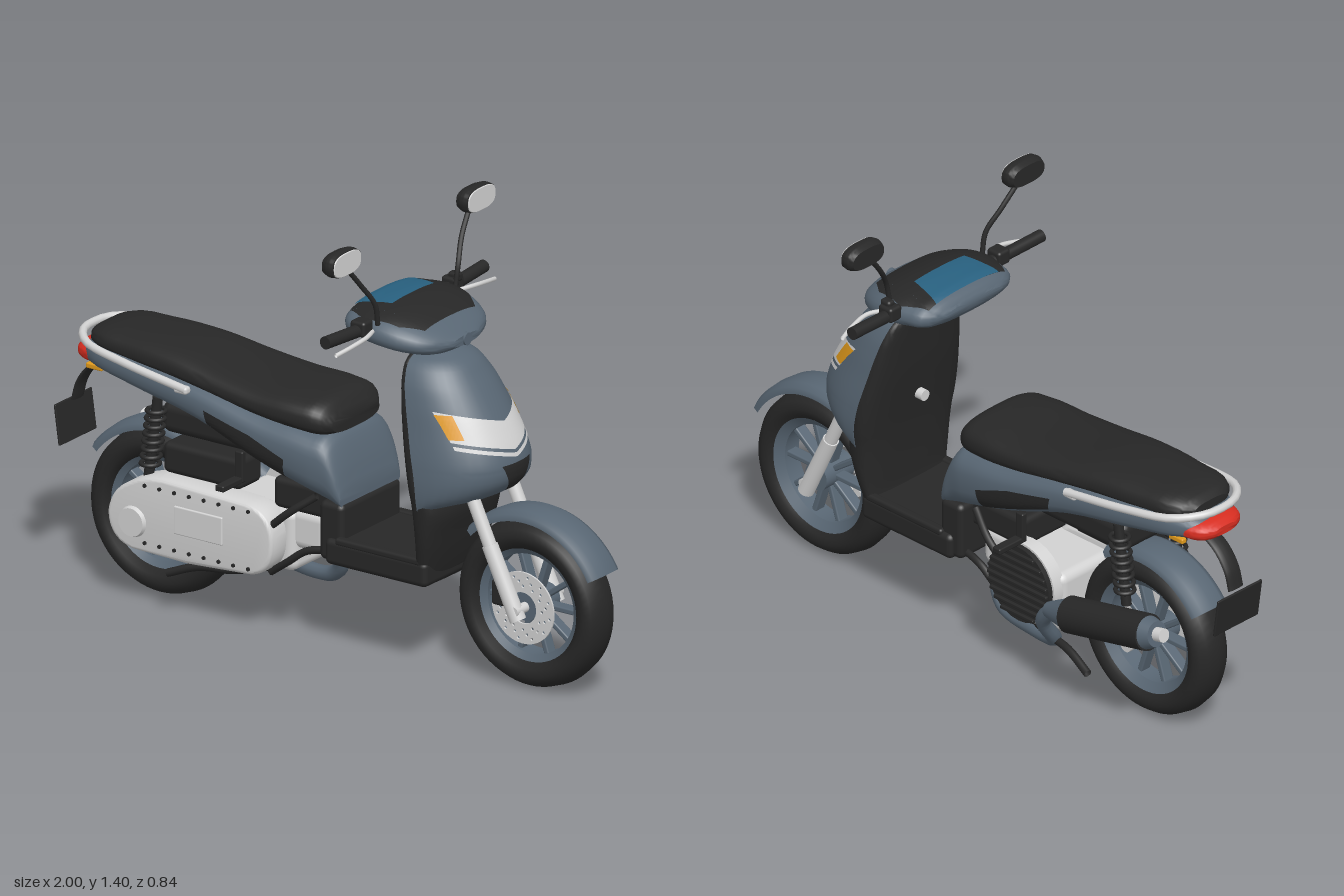
import * as THREE from 'three';
import { toCreasedNormals } from 'three/addons/utils/BufferGeometryUtils.js';
import { RoundedBoxGeometry } from 'three/addons/geometries/RoundedBoxGeometry.js';

const V = (x, y, z) => new THREE.Vector3(x, y, z);
const paint = (name, color) => new THREE.MeshStandardMaterial({ name, color, side: THREE.DoubleSide });
const SIDES = [1, -1];

// Triangulated grid from point rows
function grid(rows) {
  const n = rows[0].length, index = [];
  for (let i = 0; i < rows.length - 1; i++) for (let j = 0; j < n - 1; j++) {
    const a = i * n + j, b = a + n;
    index.push(a, b, a + 1, a + 1, b, b + 1);
  }
  const g = new THREE.BufferGeometry().setFromPoints(rows.flat());
  g.setIndex(index);
  return toCreasedNormals(g, 0.7);
}

// Superellipse hull along x or y; each row is [station, low, middle, high, half width]
function hull(rows, axis = 'x', p = 3, segments = 40) {
  const spline = new THREE.CubicInterpolant(rows.map(r => r[0]), rows.flatMap(r => r.slice(1)), 4, new Float32Array(4));
  const at = s => [...spline.evaluate(s)];
  const put = (s, u, z) => axis === 'x' ? V(s, u, z) : V(u, s, z);
  const pow = v => Math.sign(v) * Math.abs(v) ** (2 / p);
  const arc = t => Math.max(0, 1 - Math.abs(t) ** p) ** (1 / p);
  const ring = (s, k = 1) => {
    const [lo, mid, hi, w] = at(s);
    return Array.from({ length: segments + 1 }, (_, i) => {
      const a = i / segments * Math.PI * 2, c = pow(Math.cos(a)), d = pow(Math.sin(a));
      return put(s, mid + k * d * (d > 0 ? hi - mid : mid - lo), k * w * c);
    });
  };
  const stations = rows.slice(1).flatMap((r, i) => [0, 0.25, 0.5, 0.75].map(t => rows[i][0] + t * (r[0] - rows[i][0])));
  const end = rows[rows.length - 1][0];
  const rings = [ring(rows[0][0], 0), ...stations.map(s => ring(s)), ring(end), ring(end, 0)];
  return {
    geometry: grid(rings),
    // points just outside the hull, found from its high face or its flank
    top: off => (s, z) => { const [, mid, hi, w] = at(s); return put(s, mid + (hi - mid) * arc(z / w) + off, z); },
    flank: (off, sign) => (s, u) => {
      const [lo, mid, hi, w] = at(s);
      return put(s, u, sign * (w * arc((u - mid) / (u > mid ? hi - mid : mid - lo)) + off));
    },
  };
}

// Four-cornered plate laid on a surface
function patch(surface, [a, b, c, d], n = 14) {
  const mix = (p, q, t) => [p[0] + (q[0] - p[0]) * t, p[1] + (q[1] - p[1]) * t];
  return grid(Array.from({ length: n + 1 }, (_, i) => Array.from({ length: n + 1 }, (_, j) =>
    surface(...mix(mix(a, b, i / n), mix(d, c, i / n), j / n)))));
}

export function createModel() {
  const model = new THREE.Group();
  model.name = 'scooter';
  const blue = paint('blue grey paint', 0x586673), black = paint('black plastic', 0x272727);
  const silver = paint('silver metal', 0xd2d2d2), red = paint('red lens', 0xd62d20);
  const orange = paint('orange lens', 0xe09a1c), glass = paint('blue display', 0x28607f);

  const add = (name, geometry, material, parent = model) => {
    const m = new THREE.Mesh(geometry, material);
    m.name = name;
    parent.add(m);
    return m;
  };
  const box = (name, mat, x, y, z, w, h, d, r = 0.01, parent = model) => {
    const m = add(name, new RoundedBoxGeometry(w, h, d, 3, r), mat, parent);
    m.position.set(x, y, z);
    return m;
  };
  const tube = (name, mat, r, pts, parent = model) =>
    add(name, new THREE.TubeGeometry(new THREE.CatmullRomCurve3(pts.map(p => V(...p))), 32, r, 10), mat, parent);
  const rod = (name, mat, a, b, ra, rb = ra, parent = model) => {
    const p = V(...a), q = V(...b), dir = q.clone().sub(p);
    const m = add(name, new THREE.CylinderGeometry(rb, ra, dir.length(), 28), mat, parent);
    m.position.copy(p).add(q).multiplyScalar(0.5);
    m.quaternion.setFromUnitVectors(V(0, 1, 0), dir.normalize());
    return m;
  };
  const lathe = (profile, start = 0, sweep = Math.PI * 2) =>
    new THREE.LatheGeometry(profile.map(p => new THREE.Vector2(...p)), 64, start + Math.PI / 2, sweep).rotateX(Math.PI / 2);

  // Wheels
  const tyre = [[0.18, -0.045], [0.2, -0.062], [0.222, -0.067], [0.244, -0.059], [0.259, -0.038], [0.266, 0],
    [0.259, 0.038], [0.244, 0.059], [0.222, 0.067], [0.2, 0.062], [0.18, 0.045], [0.18, -0.045]];
  const rim = [[0.16, -0.03], [0.188, -0.052], [0.19, 0.052], [0.16, 0.03], [0.16, -0.03]];
  for (const [name, x] of [['frontWheel', 0.732], ['rearWheel', -0.64]]) {
    const wheel = new THREE.Group();
    wheel.name = name;
    wheel.position.set(x, 0.266, 0);
    model.add(wheel);
    add('tyre', lathe(tyre), black, wheel);
    add('rim', toCreasedNormals(lathe(rim), 0.5), blue, wheel);
    rod('hub', blue, [0, 0, -0.06], [0, 0, 0.06], 0.045, 0.045, wheel);
    for (let i = 0; i < 10; i++) {
      const a = i / 10 * Math.PI * 2;
      box('spoke', blue, 0.1 * Math.cos(a), 0.1 * Math.sin(a), 0, 0.14, 0.018, 0.04, 0.005, wheel).rotation.z = a;
    }
  }
  // Drilled brake disc and caliper
  const disc = new THREE.Shape().absarc(0, 0, 0.115, 0, Math.PI * 2);
  const hole = (x, y, r) => disc.holes.push(new THREE.Path().absarc(x, y, r, 0, Math.PI * 2, true));
  hole(0, 0, 0.05);
  for (let i = 0; i < 36; i++) {
    const a = i / 36 * Math.PI * 2, r = [0.07, 0.085, 0.1][i % 3];
    hole(r * Math.cos(a), r * Math.sin(a), 0.005);
  }
  add('brakeDisc', new THREE.ExtrudeGeometry(disc, { depth: 0.006, bevelEnabled: false, curveSegments: 20 }), silver).position.set(0.732, 0.266, 0.066);
  box('brakeCaliper', black, 0.65, 0.3, 0.075, 0.05, 0.08, 0.03);
  rod('frontAxle', silver, [0.732, 0.266, -0.12], [0.732, 0.266, 0.12], 0.016);

  // Mudguards
  const guard = [[0.272, -0.068], [0.292, -0.066], [0.303, -0.045], [0.307, 0], [0.303, 0.045], [0.292, 0.066], [0.272, 0.068]];
  add('frontMudguard', lathe(guard, 0.5, 1.88), blue).position.set(0.732, 0.266, 0);
  add('rearMudguard', lathe(guard, 1.0, 1.5), blue).position.set(-0.64, 0.258, 0);

  // Fork
  for (const s of SIDES) {
    rod('forkLower', silver, [0.735, 0.235, s * 0.1], [0.63, 0.455, s * 0.1], 0.026, 0.025);
    rod('forkUpper', silver, [0.63, 0.455, s * 0.1], [0.563, 0.6, s * 0.1], 0.021);
  }

  // Front apron and leg shield
  const apron = hull([[0.55, 0.43, 0.43, 0.48, 0.2], [0.585, 0.43, 0.43, 0.59, 0.207], [0.63, 0.428, 0.428, 0.648, 0.21],
    [0.68, 0.42, 0.42, 0.664, 0.208], [0.72, 0.41, 0.41, 0.657, 0.204], [0.8, 0.39, 0.39, 0.62, 0.19], [0.88, 0.37, 0.37, 0.572, 0.175],
    [0.95, 0.352, 0.352, 0.52, 0.152], [0.995, 0.342, 0.342, 0.475, 0.115], [1.015, 0.34, 0.34, 0.43, 0.07]], 'y', 2.2);
  add('frontApron', apron.geometry, blue);
  add('legShield', hull([[0.29, 0.36, 0.4, 0.43, 0.15], [0.35, 0.385, 0.41, 0.45, 0.165], [0.45, 0.385, 0.43, 0.475, 0.187],
    [0.56, 0.376, 0.435, 0.49, 0.201], [0.61, 0.37, 0.429, 0.45, 0.208], [0.7, 0.355, 0.415, 0.42, 0.206], [0.8, 0.338, 0.39, 0.395, 0.19],
    [0.88, 0.328, 0.37, 0.375, 0.175], [0.95, 0.32, 0.352, 0.355, 0.152], [0.995, 0.316, 0.342, 0.345, 0.115],
    [1.015, 0.318, 0.34, 0.342, 0.07]], 'y', 3).geometry, black);
  for (const s of SIDES) {
    const lens = (y0, y1, y2, y3) => [[y0, 0], [y1, s * 0.166], [y2, s * 0.166], [y3, 0]];
    add('headlight', patch(apron.top(0.004), lens(0.74, 0.782, 0.868, 0.822)), silver);
    add('headlightTrim', patch(apron.top(0.004), lens(0.718, 0.76, 0.772, 0.73)), silver);
    add('frontIndicator', patch(apron.top(0.008), [[0.79, s * 0.143], [0.79, s * 0.168], [0.86, s * 0.168], [0.86, s * 0.143]]), orange);
  }
  add('apronVent', patch(apron.top(0.004), [[0.61, -0.025], [0.61, 0.025], [0.703, 0.07], [0.703, -0.07]]), black);
  rod('bagHook', silver, [0.33, 0.69, 0], [0.38, 0.69, 0], 0.018);

  // Floorboard
  box('floorboard', black, 0.25, 0.332, 0, 0.38, 0.085, 0.34, 0.02);
  box('floorStep', black, 0.075, 0.39, 0, 0.09, 0.19, 0.31, 0.02);
  for (const s of SIDES) box('floorEdge', black, 0.26, 0.37, s * 0.155, 0.32, 0.025, 0.03);

  // Handlebar cowl
  rod('steeringNeck', blue, [0.37, 0.96, 0], [0.33, 1.06, 0], 0.03);
  const cowl = hull([[0.125, 1.085, 1.1, 1.115, 0.12], [0.145, 1.06, 1.095, 1.138, 0.175], [0.21, 1.038, 1.09, 1.154, 0.21],
    [0.3, 1.025, 1.083, 1.153, 0.22], [0.38, 1.02, 1.07, 1.128, 0.198], [0.44, 1.023, 1.06, 1.095, 0.145], [0.472, 1.04, 1.055, 1.07, 0.07]], 'x', 2.4);
  add('handlebarCowl', cowl.geometry, blue);
  add('cowlTop', patch(cowl.top(0.004), [[0.155, -0.165], [0.155, 0.165], [0.41, 0.13], [0.41, -0.13]], 20), black);
  for (const s of SIDES) add('cowlTopSide', patch(cowl.top(0.004), [[0.155, s * 0.165], [0.24, s * 0.202], [0.35, s * 0.18], [0.41, s * 0.13]]), black);
  add('instrumentDisplay', patch(cowl.top(0.008), [[0.152, -0.135], [0.152, 0.135], [0.272, 0.108], [0.272, -0.108]]), glass);
  rod('cowlBadge', blue, [0.44, 1.056, 0], [0.478, 1.056, 0], 0.02);

  // Grips, levers and mirrors
  const mirror = (x0, x1, k) => hull([[x0, 1.36 - 0.032 * k, 1.36, 1.36 + 0.032 * k, 0.066 * k],
    [(x0 + x1) / 2, 1.36 - 0.04 * k, 1.36, 1.36 + 0.04 * k, 0.075 * k], [x1, 1.36 - 0.038 * k, 1.36, 1.36 + 0.038 * k, 0.073 * k]], 'x', 2.8).geometry;
  for (const s of SIDES) {
    rod('grip', black, [0.25, 1.105, s * 0.19], [0.24, 1.115, s * 0.41], 0.02);
    box('switchBox', black, 0.25, 1.115, s * 0.235, 0.055, 0.05, 0.05);
    tube('lever', silver, 0.007, [[0.27, 1.1, s * 0.2], [0.3, 1.105, s * 0.28], [0.295, 1.095, s * 0.35], [0.28, 1.082, s * 0.41]]);
    tube('mirrorStem', black, 0.008, [[0.285, 1.12, s * 0.2], [0.285, 1.19, s * 0.215], [0.265, 1.26, s * 0.26], [0.25, 1.34, s * 0.325]]);
    add('mirrorShell', mirror(0.23, 0.275, 1), black).position.z = s * 0.347;
    add('mirrorGlass', mirror(0.274, 0.28, 0.93), silver).position.z = s * 0.347;
  }
  box('brakeReservoir', black, 0.26, 1.14, -0.235, 0.04, 0.03, 0.03);

  // Rear bodywork and seat
  const body = hull([[-0.9, 0.72, 0.745, 0.77, 0.075], [-0.86, 0.71, 0.745, 0.79, 0.11], [-0.7, 0.68, 0.735, 0.79, 0.148],
    [-0.42, 0.63, 0.7, 0.765, 0.18], [-0.18, 0.54, 0.64, 0.72, 0.192], [0, 0.485, 0.6, 0.7, 0.187],
    [0.06, 0.465, 0.58, 0.68, 0.175], [0.095, 0.458, 0.53, 0.6, 0.165], [0.112, 0.458, 0.495, 0.53, 0.155]], 'x', 3);
  add('rearBody', body.geometry, blue);
  add('seat', hull([[-0.875, 0.79, 0.8, 0.82, 0.07], [-0.845, 0.785, 0.8, 0.838, 0.11], [-0.7, 0.77, 0.79, 0.85, 0.143], [-0.52, 0.75, 0.78, 0.842, 0.16],
    [-0.36, 0.73, 0.76, 0.815, 0.172], [-0.2, 0.7, 0.74, 0.798, 0.18], [-0.04, 0.68, 0.73, 0.796, 0.176],
    [0.03, 0.675, 0.725, 0.782, 0.155], [0.06, 0.685, 0.715, 0.745, 0.12]], 'x', 2.8).geometry, black);
  for (const s of SIDES) {
    const side = body.flank(0.004, s);
    add('sidePanelRear', patch(side, [[-0.375, 0.695], [-0.2, 0.655], [-0.2, 0.585], [-0.365, 0.65]]), black);
    add('sidePanelFront', patch(side, [[-0.2, 0.655], [-0.07, 0.605], [-0.08, 0.54], [-0.2, 0.585]]), black);
    box('rearIndicator', orange, -0.835, 0.712, s * 0.105, 0.06, 0.018, 0.02, 0.005);
    box('railBracket', silver, -0.46, 0.742, s * 0.178, 0.05, 0.025, 0.03);
    box('footPeg', black, -0.245, 0.5, s * 0.235, 0.032, 0.02, 0.1, 0.005);
    box('footPegBracket', black, -0.245, 0.54, s * 0.175, 0.03, 0.1, 0.02, 0.005);
  }
  tube('grabRail', silver, 0.013, [[-0.44, 0.745, 0.184], [-0.68, 0.778, 0.173], [-0.84, 0.797, 0.14], [-0.905, 0.805, 0.07],
    [-0.918, 0.806, 0], [-0.905, 0.805, -0.07], [-0.84, 0.797, -0.14], [-0.68, 0.778, -0.173], [-0.44, 0.745, -0.184]]);
  add('tailLight', hull([[-0.937, 0.728, 0.742, 0.755, 0.045], [-0.92, 0.715, 0.742, 0.766, 0.078], [-0.885, 0.706, 0.74, 0.775, 0.1],
    [-0.862, 0.71, 0.74, 0.775, 0.108]], 'x', 2.6).geometry, red);

  // Plate holder
  const strip = tube('plateArm', black, 0.008, [[-0.85, 0.71, 0], [-0.92, 0.665, 0], [-0.96, 0.61, 0], [-0.978, 0.55, 0]]);
  strip.scale.z = 4;
  box('plate', black, -0.986, 0.485, 0, 0.008, 0.13, 0.19, 0.003).rotation.z = 0.14;

  // Engine and transmission
  const cover = new THREE.Shape();
  cover.moveTo(-0.65, 0.39).quadraticCurveTo(-0.6, 0.42, -0.52, 0.42).lineTo(-0.23, 0.41)
    .quadraticCurveTo(-0.14, 0.4, -0.14, 0.31).quadraticCurveTo(-0.14, 0.21, -0.23, 0.205)
    .lineTo(-0.45, 0.19).lineTo(-0.65, 0.195).quadraticCurveTo(-0.73, 0.21, -0.73, 0.29).quadraticCurveTo(-0.72, 0.36, -0.65, 0.39);
  const coverGeometry = new THREE.ExtrudeGeometry(cover, { depth: 0.07, bevelSize: 0.012, bevelThickness: 0.015, bevelSegments: 4, curveSegments: 12 });
  add('transmissionCover', toCreasedNormals(coverGeometry, 0.6), silver).position.z = 0.09;
  rod('rearAxleCap', silver, [-0.645, 0.275, 0.16], [-0.645, 0.275, 0.188], 0.055, 0.045);
  box('coverPanel', silver, -0.4, 0.315, 0.176, 0.18, 0.09, 0.01, 0.004);
  for (let i = 0; i < 8; i++) for (const y of [0.215, 0.4]) rod('coverBolt', black, [-0.6 + i * 0.055, y, 0.17], [-0.6 + i * 0.055, y, 0.18], 0.006);
  box('crankcase', silver, -0.24, 0.3, -0.02, 0.28, 0.2, 0.24, 0.03);
  box('cylinderHead', silver, -0.06, 0.34, 0, 0.14, 0.13, 0.17, 0.03);
  box('engineMount', black, -0.05, 0.45, 0, 0.26, 0.1, 0.2, 0.02);
  box('airBox', black, -0.41, 0.495, 0.09, 0.29, 0.1, 0.12, 0.02);
  box('underTray', black, -0.35, 0.6, 0, 0.5, 0.1, 0.2, 0.03);
  rod('rearAxle', silver, [-0.64, 0.266, -0.13], [-0.64, 0.266, 0.12], 0.022);
  // Fan grille
  rod('fanHousing', silver, [-0.24, 0.34, -0.12], [-0.24, 0.34, -0.165], 0.135);
  rod('fanCover', black, [-0.24, 0.34, -0.16], [-0.24, 0.34, -0.182], 0.128);
  for (let i = -4; i <= 4; i++) {
    const y = i * 0.026;
    box('fanSlat', black, -0.24, 0.34 + y, -0.185, 2 * Math.sqrt(0.0156 - y * y), 0.012, 0.014, 0.003);
  }

  // Rear shock absorbers
  for (const s of SIDES) {
    rod('shockRod', black, [-0.63, 0.4, s * 0.115], [-0.595, 0.67, s * 0.115], 0.016);
    for (let i = 0; i < 8; i++) {
      const coil = add('shockCoil', new THREE.TorusGeometry(0.029, 0.007, 8, 24).rotateX(Math.PI / 2), black);
      coil.position.set(-0.623 + i * 0.0032, 0.45 + i * 0.025, s * 0.115);
    }
  }

  // Exhaust
  tube('exhaustPipe', blue, 0.024, [[-0.42, 0.345, -0.215], [-0.36, 0.27, -0.2], [-0.34, 0.17, -0.13], [-0.22, 0.145, -0.1],
    [-0.08, 0.155, -0.08], [-0.035, 0.21, -0.06], [-0.06, 0.3, -0.03]]);
  rod('mufflerCone', blue, [-0.4, 0.33, -0.215], [-0.51, 0.36, -0.225], 0.025, 0.055);
  rod('muffler', black, [-0.5, 0.358, -0.225], [-0.83, 0.43, -0.225], 0.058);
  rod('mufflerEnd', blue, [-0.83, 0.43, -0.225], [-0.865, 0.438, -0.225], 0.052, 0.04);
  rod('mufflerTip', silver, [-0.86, 0.437, -0.225], [-0.895, 0.445, -0.225], 0.022);

  // Frame struts and stand
  for (const s of SIDES) {
    tube('frameStrut', black, 0.012, [[0.06, 0.32, s * 0.12], [-0.03, 0.3, s * 0.13], [-0.1, 0.25, s * 0.13], [-0.17, 0.2, s * 0.12]]);
    tube('engineStrut', black, 0.012, [[0, 0.48, s * 0.12], [-0.08, 0.42, s * 0.15], [-0.15, 0.36, s * 0.15]]);
    tube('centreStand', black, 0.013, [[-0.18, 0.21, s * 0.1], [-0.3, 0.18, s * 0.13], [-0.42, 0.17, s * 0.15], [-0.52, 0.135, s * 0.17]]);
  }
  rod('standCrossbar', black, [-0.3, 0.18, -0.13], [-0.3, 0.18, 0.13], 0.011);
  return model;
}
